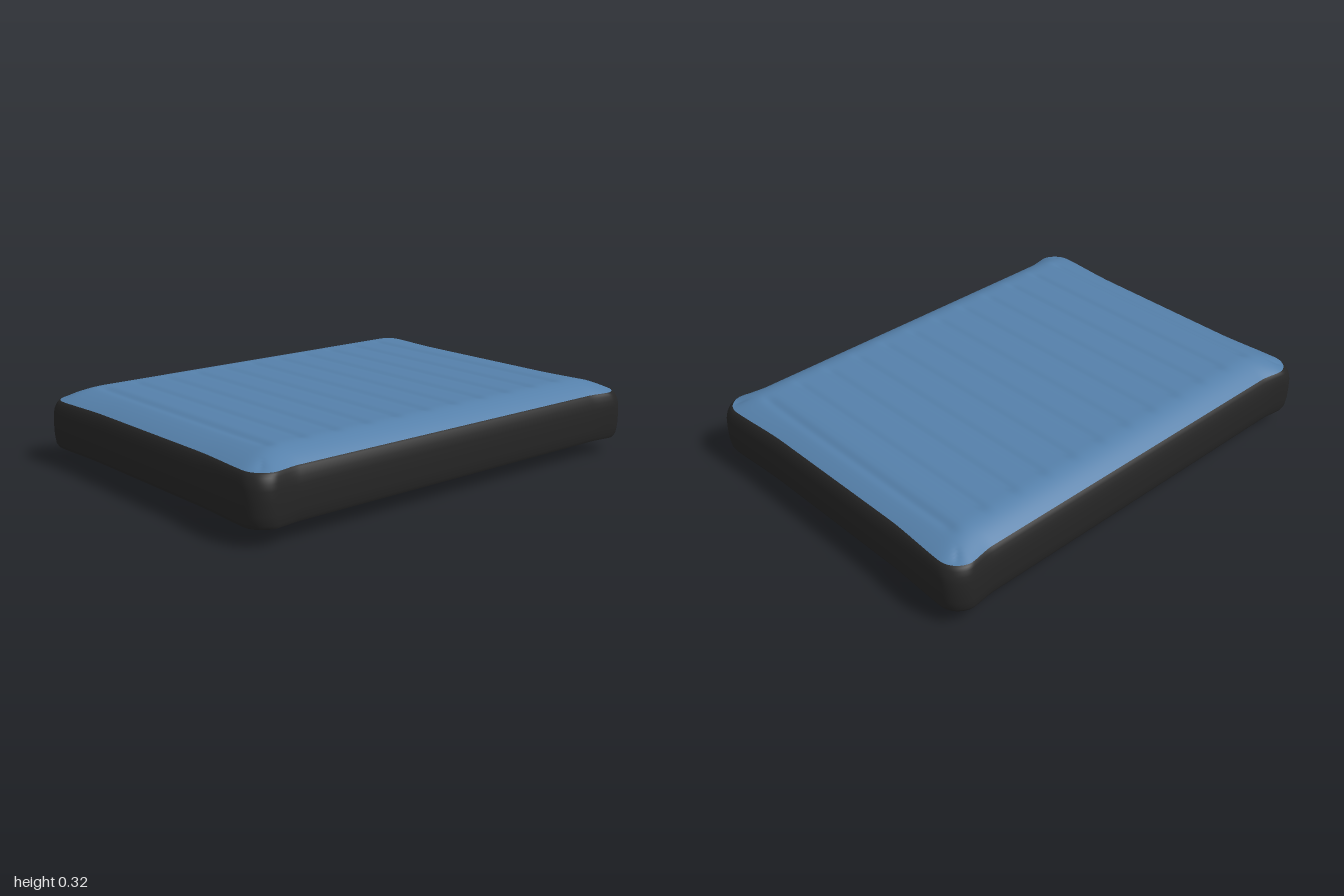
import * as THREE from 'three';
import { mergeVertices } from 'three/addons/utils/BufferGeometryUtils.js';

const W = 0.75, L = 1.0, R = 0.09;      // half width, half length, corner radius
const LOW = 0.07, HIGH = 0.27;          // seams of the side band
const NX = 64, NZ = 200;

// Inset of the side band by height: [y, inset]
const bandProfile = [[LOW, 0.012], [0.085, 0.005], [0.12, 0.001], [0.17, 0],
  [0.21, 0.001], [0.235, 0.005], [0.255, 0.012], [0.265, 0.018], [HIGH, 0.024]];

// Packs samples toward the edges so the corners stay round
const ease = t => t * (1.3 - 0.3 * t * t);
const rise = d => 1 - (1 - Math.min(d, 1)) ** 2;

// Maps the unit square to a rounded rectangle whose sides pull in between the corners
function plan(u, v, inset, pinch) {
  const w = W - inset, l = L - inset;
  let x = Math.abs(u) * w, z = Math.abs(v) * l;
  const dx = x - (w - R), dz = z - (l - R);
  if (dx > 0 && dz > 0) {
    const k = Math.max(dx, dz) / Math.hypot(dx, dz);
    x = w - R + dx * k;
    z = l - R + dz * k;
  }
  const px = pinch * (1 - THREE.MathUtils.smoothstep(z / l, 0.8, 0.94));
  const pz = pinch * (1 - THREE.MathUtils.smoothstep(x / w, 0.45, 0.93));
  return [Math.sign(u) * x * (1 - px / w), Math.sign(v) * z * (1 - pz / l)];
}

// Smooth surface from a grid of points; flip turns the faces over
function gridGeometry(nu, nv, point, flip) {
  const pos = [], index = [];
  for (let j = 0; j <= nv; j++) for (let i = 0; i <= nu; i++) pos.push(...point(i, j));
  for (let j = 0; j < nv; j++) for (let i = 0; i < nu; i++) {
    const a = j * (nu + 1) + i, b = a + 1, c = a + nu + 1, d = c + 1;
    if (flip) index.push(a, b, c, b, d, c);
    else index.push(a, c, b, b, c, d);
  }
  let g = new THREE.BufferGeometry();
  g.setAttribute('position', new THREE.Float32BufferAttribute(pos, 3));
  g.setIndex(index);
  g = mergeVertices(g, 1e-5);
  g.computeVertexNormals();
  return g;
}

// Padded top with quilted grooves across the width
function topPoint(i, j) {
  const u = ease(i / NX * 2 - 1), v = ease(j / NZ * 2 - 1);
  const [x, z] = plan(u, v, 0.024, 0.018);
  let y = HIGH + 0.055 * rise((1 - Math.abs(u)) * W / 0.14) * rise((1 - Math.abs(v)) * L / 0.2);
  const across = 1 - THREE.MathUtils.smoothstep(Math.abs(x), 0.54, 0.62);
  for (let k = 0; k < 12; k++) {
    const d = (z - (-0.86 + k * 0.1528)) / 0.02;
    y -= 0.009 * across * Math.exp(-d * d);
  }
  return [x, y, z];
}

// Softly domed underside
function bottomPoint(i, j) {
  const u = ease(i / NX * 2 - 1), v = ease(j / NZ * 2 - 1);
  const [x, z] = plan(u, v, 0.012, 0.013);
  const y = LOW * (1 - rise((1 - Math.abs(u)) * W / 0.36) * rise((1 - Math.abs(v)) * L / 0.27));
  return [x, y, z];
}

// Walks once round the edge, using the same samples as the top and bottom
const perimeter = [];
for (let i = 0; i < NX; i++) perimeter.push([ease(i / NX * 2 - 1), 1]);
for (let i = 0; i < NZ; i++) perimeter.push([1, ease(1 - i / NZ * 2)]);
for (let i = 0; i < NX; i++) perimeter.push([ease(1 - i / NX * 2), -1]);
for (let i = 0; i <= NZ; i++) perimeter.push([-1, ease(i / NZ * 2 - 1)]);

function bandPoint(i, j) {
  const [y, inset] = bandProfile[j], [u, v] = perimeter[i];
  const t = (y - LOW) / (HIGH - LOW);
  const [x, z] = plan(u, v, inset, 0.013 + 0.005 * t ** 4);
  return [x, y, z];
}

export function createModel() {
  const blue = new THREE.MeshStandardMaterial({ color: 0x5580aa });
  blue.name = 'blue fabric';
  const black = new THREE.MeshStandardMaterial({ color: 0x252525 });
  black.name = 'black fabric';

  const group = new THREE.Group();
  group.name = 'mattress';
  const add = (name, geometry, material) => {
    const mesh = new THREE.Mesh(geometry, material);
    mesh.name = name;
    group.add(mesh);
  };
  add('quiltedTop', gridGeometry(NX, NZ, topPoint, false), blue);
  add('underside', gridGeometry(NX, NZ, bottomPoint, true), blue);
  add('sideBand', gridGeometry(perimeter.length - 1, bandProfile.length - 1, bandPoint, true), black);
  return group;
}
